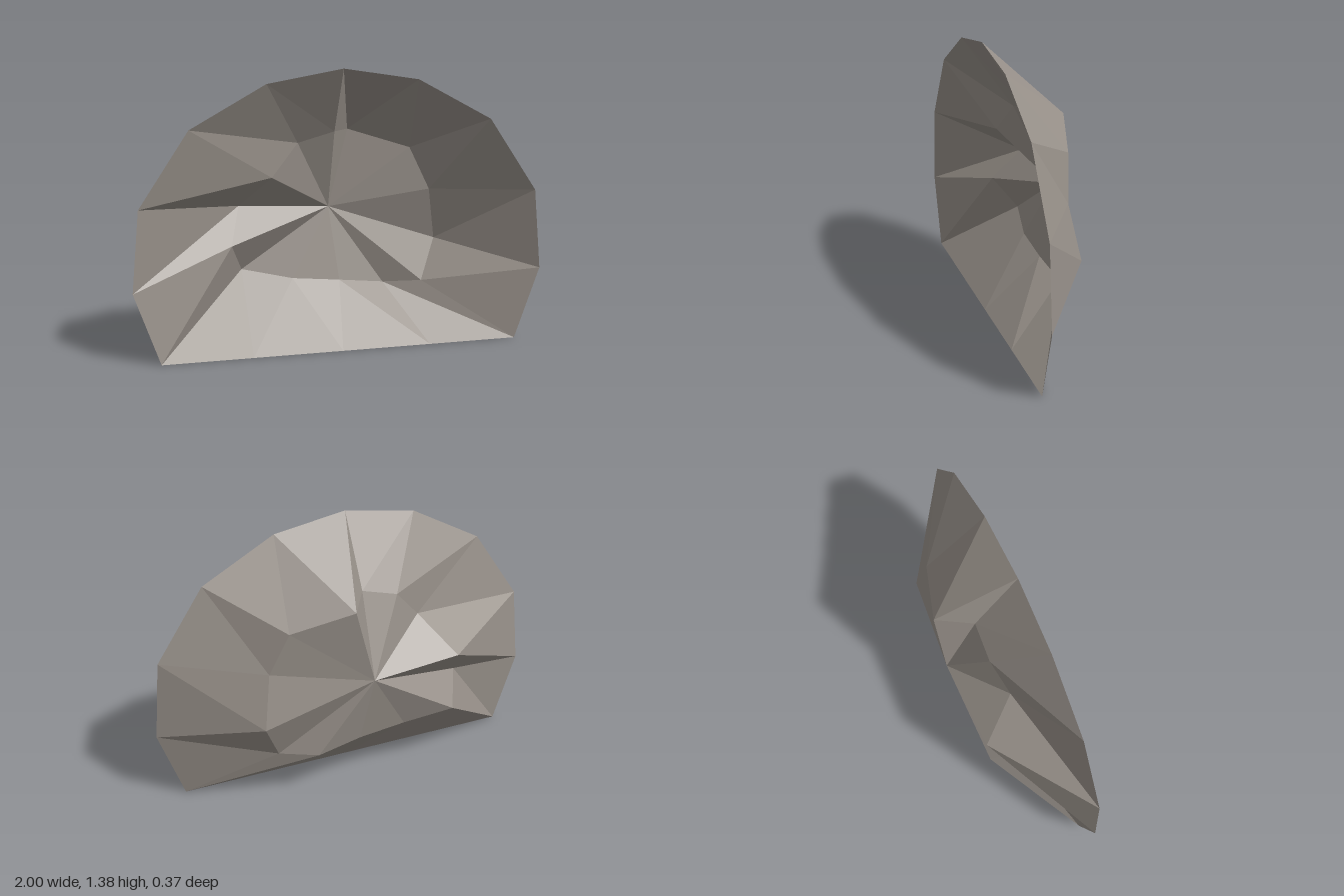
import * as THREE from 'three';

const RIM_Z = 0.185;
const CENTRE = [0, 0.64, -0.173];

// Rim outline, clockwise from the top (x, y)
const rim = [
  [0, 1.38], [0.36, 1.32], [0.72, 1.12], [0.96, 0.76], [1, 0.36], [0.88, 0], [0.44, 0],
  [0, 0], [-0.44, 0], [-0.88, 0], [-1, 0.36], [-0.96, 0.76], [-0.72, 1.12], [-0.36, 1.32],
].map(([x, y]) => [x, y, RIM_Z]);

// Irregular middle ring, one point per rim point
const middle = [
  [0, 1.05, -0.02], [0.1, 1.03, -0.185], [0.4, 0.94, -0.1], [0.495, 0.73, -0.068],
  [0.54, 0.46, -0.12], [0.455, 0.26, -0.042], [0.27, 0.243, -0.112], [0.04, 0.275, -0.09],
  [-0.2, 0.3, -0.088], [-0.45, 0.35, -0.134], [-0.51, 0.505, -0.012], [-0.455, 0.67, -0.158],
  [-0.315, 0.845, 0.023], [-0.18, 1.0, -0.025],
];

// Faceted dish: a band from rim to middle ring, then a fan to the centre
function dishGeometry() {
  const positions = [];
  const triangle = (a, b, c) => positions.push(...a, ...b, ...c);
  const n = rim.length;
  for (let i = 0; i < n; i++) {
    const j = (i + 1) % n;
    triangle(rim[i], rim[j], middle[j]);
    triangle(rim[i], middle[j], middle[i]);
    triangle(middle[i], middle[j], CENTRE);
  }
  const geometry = new THREE.BufferGeometry();
  geometry.setAttribute('position', new THREE.Float32BufferAttribute(positions, 3));
  geometry.computeVertexNormals();
  return geometry;
}

export function createModel() {
  const stone = new THREE.MeshStandardMaterial({
    color: 0x98918a, flatShading: true, side: THREE.DoubleSide,
  });
  stone.name = 'warm grey stone';

  const group = new THREE.Group();
  group.name = 'rockHollow';
  const shell = new THREE.Mesh(dishGeometry(), stone);
  shell.name = 'rockShell';
  group.add(shell);
  return group;
}
